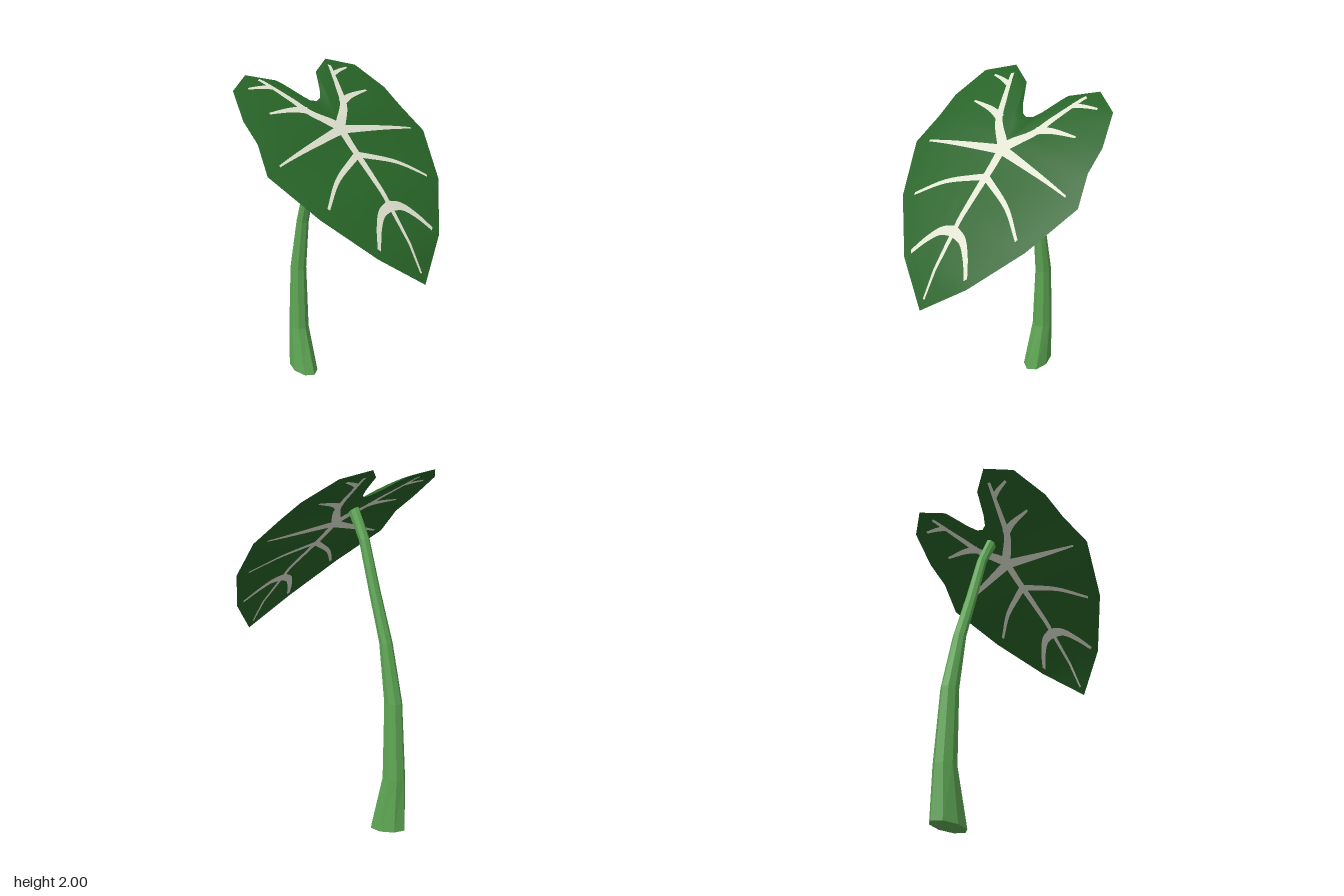
import * as THREE from 'three';

const leafGreen = new THREE.MeshStandardMaterial({ color: 0x276327 });
leafGreen.name = 'leaf green';
const veinCream = new THREE.MeshStandardMaterial({ color: 0xe0e2d0 });
veinCream.name = 'vein cream';
const stalkGreen = new THREE.MeshStandardMaterial({ color: 0x5fa855 });
stalkGreen.name = 'stalk green';

// Half outline of the blade seen from above (x, z), from tip to notch
const HALF = [[0, 0.583], [0.23, 0.46], [0.44, 0.25], [0.57, 0], [0.52, -0.14], [0.51, -0.27],
  [0.44, -0.45], [0.29, -0.543], [0.145, -0.46], [0.075, -0.345], [0.035, -0.297], [0, -0.285]];
const OUTLINE = [...HALF, ...HALF.slice(1, -1).reverse().map(([x, z]) => [-x, z])];
const CENTRE_Z = -0.09;

// Blade height along z
const SLOPE = [[-0.543, 2.0], [-0.45, 1.957], [-0.27, 1.845], [-0.14, 1.755], [0, 1.63],
  [0.25, 1.435], [0.46, 1.22], [0.583, 1.04]];
function slopeHeight(z) {
  let i = 0;
  while (i < SLOPE.length - 2 && z > SLOPE[i + 1][0]) i++;
  const [z0, y0] = SLOPE[i], [z1, y1] = SLOPE[i + 1];
  return y0 + (y1 - y0) * (z - z0) / (z1 - z0);
}

// 0 at the blade centre, 1 on its rim
function rimFraction(x, z) {
  const pz = z - CENTRE_Z;
  for (let i = 0; i < OUTLINE.length; i++) {
    const [ax, az0] = OUTLINE[i], [bx, bz0] = OUTLINE[(i + 1) % OUTLINE.length];
    const az = az0 - CENTRE_Z, bz = bz0 - CENTRE_Z;
    const det = ax * bz - az * bx;
    const u = (x * bz - pz * bx) / det, v = (ax * pz - az * x) / det;
    if (u >= -1e-6 && v >= -1e-6) return Math.min(1, u + v);
  }
  return 1;
}

// Height of the upper (side = 1) or lower (side = -1) face of the blade
function bladeHeight(x, z, side) {
  const s = rimFraction(x, z);
  return slopeHeight(z) + 0.02 * (1 - s * s) + side * 0.014 * (1 - s ** 4);
}

function makeGeometry(positions, indices) {
  const g = new THREE.BufferGeometry();
  g.setAttribute('position', new THREE.Float32BufferAttribute(positions, 3));
  g.setIndex(indices);
  g.computeVertexNormals();
  return g;
}

function addMesh(parent, name, geometry, material) {
  const mesh = new THREE.Mesh(geometry, material);
  mesh.name = name;
  parent.add(mesh);
}

// One face of the blade: rings of the outline shrinking to the centre
function bladeFace(side) {
  const rim = [];
  OUTLINE.forEach(([x, z], i) => {
    const [nx, nz] = OUTLINE[(i + 1) % OUTLINE.length];
    for (let k = 0; k < 3; k++) rim.push([x + (nx - x) * k / 3, z + (nz - z) * k / 3]);
  });
  const rings = 12, n = rim.length, positions = [], indices = [];
  for (let r = 0; r <= rings; r++) {
    for (const [rx, rz] of rim) {
      const x = rx * r / rings, z = CENTRE_Z + (rz - CENTRE_Z) * r / rings;
      positions.push(x, bladeHeight(x, z, side), z);
    }
  }
  for (let r = 0; r < rings; r++) {
    for (let i = 0; i < n; i++) {
      const j = (i + 1) % n;
      const a = r * n + i, b = a + n, c = (r + 1) * n + j, d = r * n + j;
      if (side > 0) indices.push(a, b, c, a, c, d);
      else indices.push(a, c, b, a, d, c);
    }
  }
  return makeGeometry(positions, indices);
}

// A tapering ribbon lying on one face of the blade
function veinStrip(points, w0, w1, side) {
  const curve = new THREE.CatmullRomCurve3(points.map(([x, z]) => new THREE.Vector3(x, 0, z)));
  const steps = 30, positions = [], indices = [];
  for (let i = 0; i <= steps; i++) {
    const t = i / steps, p = curve.getPointAt(t), d = curve.getTangentAt(t);
    const w = (w0 + (w1 - w0) * t) / 2;
    for (const e of [1, 0, -1]) {
      const x = p.x + e * d.z * w, z = p.z - e * d.x * w;
      positions.push(x, bladeHeight(x, z, side) + side * 0.004, z);
    }
    if (i === steps) continue;
    for (const l of [i * 3, i * 3 + 1]) {
      const r = l + 1;
      if (side > 0) indices.push(r, r + 3, l, l, r + 3, l + 3);
      else indices.push(r, l, r + 3, l, l + 3, r + 3);
    }
  }
  return makeGeometry(positions, indices);
}

// Side veins: name, path (x, z), start width, end width
const SIDE_VEINS = [
  ['lobeVein', [[0, -0.09], [0.12, -0.195], [0.175, -0.3], [0.255, -0.47]], 0.052, 0.018],
  ['lobeForkVein', [[0.215, -0.395], [0.28, -0.415], [0.355, -0.43]], 0.03, 0.012],
  ['shoulderVein', [[0.12, -0.21], [0.2, -0.235], [0.35, -0.255]], 0.042, 0.01],
  ['crossVein', [[0, -0.08], [0.2, -0.052], [0.48, -0.015]], 0.042, 0.008],
  ['middleVein', [[0, 0.05], [0.07, 0.075], [0.22, 0.135], [0.365, 0.23]], 0.032, 0.014],
  ['lowerVein', [[0, 0.305], [0.075, 0.322], [0.14, 0.37], [0.2, 0.435]], 0.042, 0.018],
];

// Stalk cross-sections: y, z, half width, half depth, tilt
const STALK = [
  [0.012, -0.47, 0.075, 0.112, -0.1], [0.32, -0.505, 0.06, 0.066, 0], [0.75, -0.492, 0.047, 0.052, 0],
  [1.08, -0.437, 0.038, 0.036, 0], [1.36, -0.357, 0.034, 0.031, 0], [1.63, -0.285, 0.03, 0.028, -0.2],
  [1.785, -0.213, 0.026, 0.03, -0.6],
];

function stalkGeometry() {
  const sides = 8, positions = [], indices = [];
  for (const [y, z, rx, rz, tilt] of STALK) {
    for (let i = 0; i < sides; i++) {
      const a = i / sides * Math.PI * 2, dz = Math.cos(a) * rz;
      positions.push(Math.sin(a) * rx, Math.max(0, y + tilt * dz), z + dz);
    }
  }
  const last = (STALK.length - 1) * sides;
  for (let r = 0; r < last; r += sides) {
    for (let i = 0; i < sides; i++) {
      const j = (i + 1) % sides;
      indices.push(r + i, r + j, r + sides + j, r + i, r + sides + j, r + sides + i);
    }
  }
  // End caps
  for (let i = 1; i < sides - 1; i++) {
    indices.push(0, i + 1, i, last, last + i, last + i + 1);
  }
  const g = makeGeometry(positions, indices).toNonIndexed();
  g.computeVertexNormals();
  return g;
}

export function createModel() {
  const model = new THREE.Group();
  model.name = 'leafPlant';
  addMesh(model, 'stalk', stalkGeometry(), stalkGreen);

  const leaf = new THREE.Group();
  leaf.name = 'leaf';
  model.add(leaf);
  for (const [label, side] of [['upper', 1], ['lower', -1]]) {
    addMesh(leaf, label + 'Blade', bladeFace(side), leafGreen);
    addMesh(leaf, label + 'Midrib', veinStrip([[0, -0.115], [0, 0.2], [0, 0.55]], 0.052, 0.012, side), veinCream);
    for (const [name, path, w0, w1] of SIDE_VEINS) {
      for (const [hand, m] of [['Left', 1], ['Right', -1]]) {
        const points = path.map(([x, z]) => [x * m, z]);
        addMesh(leaf, label + hand + name[0].toUpperCase() + name.slice(1), veinStrip(points, w0, w1, side), veinCream);
      }
    }
  }
  return model;
}
